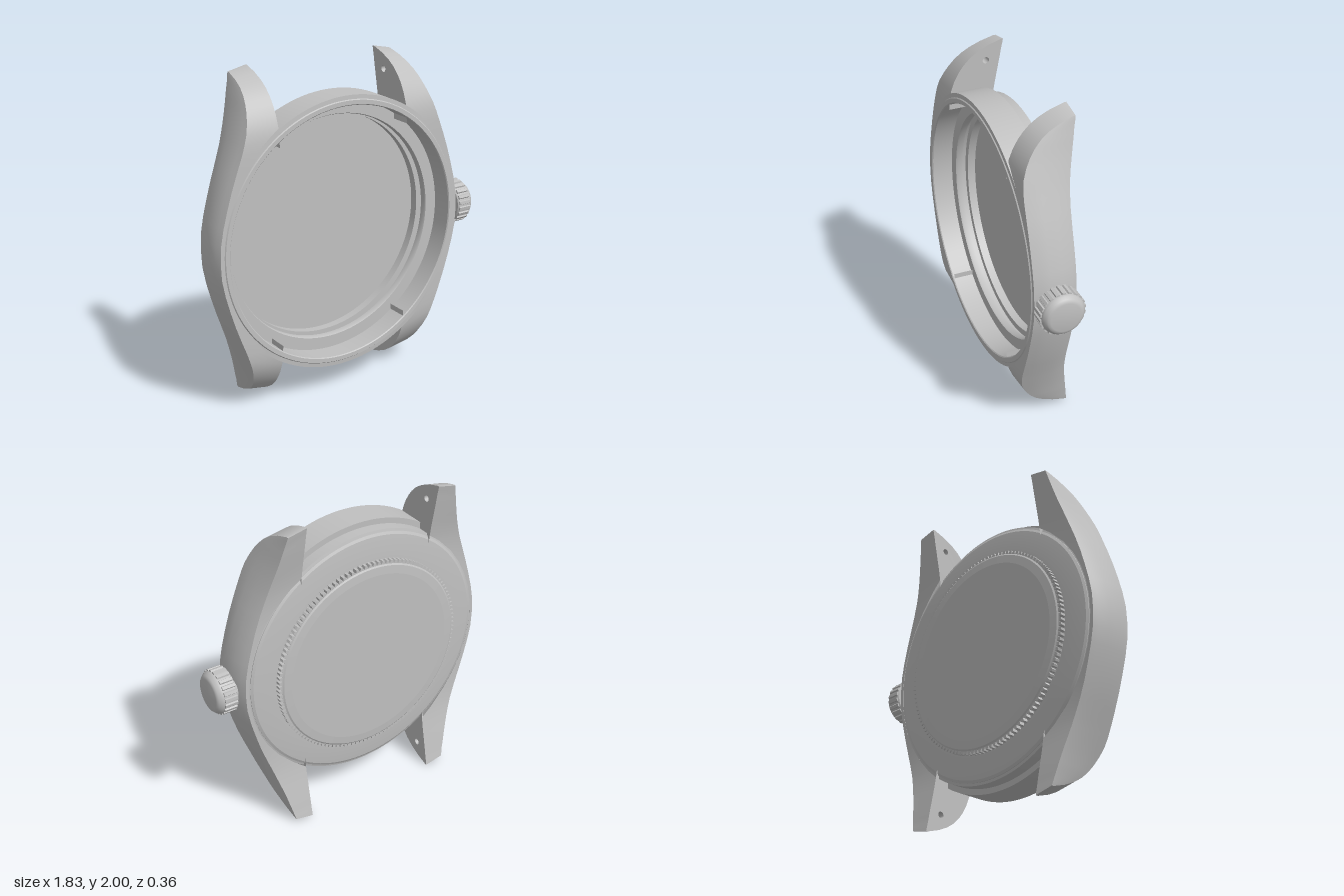
import * as THREE from 'three';
import { toCreasedNormals } from 'three/addons/utils/BufferGeometryUtils.js';

const steel = new THREE.MeshStandardMaterial({ color: 0xc0c0c0, side: THREE.DoubleSide });
steel.name = 'steel';

const LUG_X = 0.437;   // inner face of the lugs, from the case axis
const BORE = 0.79;     // the flanks start at this radius
const HOLE = { z: -0.07, y: 0.88, r: 0.02, depth: 0.06 };

// Half flank from the middle to the lug tip: [y, front z, back z, outer x]
const HALF = [
  [0, 0.168, -0.095, 0.85], [0.1, 0.168, -0.095, 0.845], [0.2, 0.168, -0.095, 0.825],
  [0.3, 0.168, -0.095, 0.797], [0.4, 0.168, -0.095, 0.765], [0.5, 0.168, -0.098, 0.728],
  [0.6, 0.167, -0.106, 0.69], [0.66, 0.163, -0.114, 0.669], [0.72, 0.153, -0.124, 0.648],
  [0.78, 0.13, -0.136, 0.627], [0.83, 0.102, -0.146, 0.61], [0.87, 0.072, -0.154, 0.597],
  [0.91, 0.032, -0.162, 0.584], [0.945, -0.02, -0.168, 0.572], [0.975, -0.085, -0.175, 0.563],
  [1, -0.165, -0.18, 0.555],
];
// Bulge of the outer side: [fraction from front to back, inset]
const SIDE = [[0, 0.02], [0.15, 0.008], [0.35, 0], [0.65, 0.008], [0.88, 0.025], [1, 0.04]];

function add(parent, name, geometry, crease = 0.6) {
  const mesh = new THREE.Mesh(crease ? toCreasedNormals(geometry, crease) : geometry, steel);
  mesh.name = name;
  parent.add(mesh);
  return mesh;
}

// Turned part around the z axis; points are [radius, z]
function turned(points, segments = 128) {
  const g = new THREE.LatheGeometry(points.map(p => new THREE.Vector2(...p)), segments);
  return g.rotateX(Math.PI / 2);
}

// Toothed disc, extruded along z
function toothed(teeth, outer, inner, depth) {
  const shape = new THREE.Shape();
  const profile = [[0, inner], [0.2, outer], [0.65, outer], [0.85, inner]];
  for (let i = 0; i < teeth; i++) {
    for (const [f, r] of profile) {
      const a = (i + f) / teeth * Math.PI * 2;
      if (i + f === 0) shape.moveTo(r, 0);
      else shape.lineTo(r * Math.cos(a), r * Math.sin(a));
    }
  }
  return new THREE.ExtrudeGeometry(shape, { depth, bevelEnabled: false });
}

// One flank with its two lugs, lofted from sections along y; s = 1 or -1
function flankGeometry(s) {
  const rows = [
    ...HALF.slice(1).reverse().map(([y, ...rest]) => [-y, ...rest]),
    ...HALF,
  ];
  const pos = [], idx = [];
  const n = SIDE.length + 2;
  for (const [y, zf, zb, xo] of rows) {
    const a = Math.abs(y);
    const xi = Math.max(LUG_X, Math.sqrt(Math.max(0, BORE * BORE - y * y)));
    const k = 1 - a * a;
    // the crown of the lug falls away towards the outside
    const drop = Math.sign(y) * 0.025 * THREE.MathUtils.smoothstep(a, 0.45, 0.85);
    pos.push(s * xi, y, zf);
    for (const [f, inset] of SIDE) {
      pos.push(s * (xo - inset * k), y - drop, THREE.MathUtils.lerp(zf, zb, f));
    }
    pos.push(s * xi, y, zb);
  }
  const tri = (a, b, c) => (s > 0 ? idx.push(a, b, c) : idx.push(a, c, b));
  for (let r = 0; r < rows.length - 1; r++) {
    for (let j = 0; j < n - 1; j++) {
      const a = r * n + j, b = a + 1, c = a + n, d = c + 1;
      tri(a, b, d);
      tri(a, d, c);
    }
  }
  // Lug ends
  const last = (rows.length - 1) * n;
  for (let j = 1; j < n - 1; j++) {
    tri(0, j + 1, j);
    tri(last, last + j, last + j + 1);
  }
  const g = new THREE.BufferGeometry();
  g.setAttribute('position', new THREE.Float32BufferAttribute(pos, 3));
  g.setIndex(idx);
  g.computeVertexNormals();
  return g;
}

// Flat inner face of a lug with the spring bar hole
function lugFace(v) {
  const lug = HALF.filter(([y]) => y >= 0.6);
  const outline = [
    ...lug.map(([y, zf]) => new THREE.Vector2(zf, v * y)),
    ...lug.slice().reverse().map(([y, , zb]) => new THREE.Vector2(zb, v * y)),
  ];
  const shape = new THREE.Shape(outline);
  shape.holes.push(new THREE.Path().absarc(HOLE.z, v * HOLE.y, HOLE.r, 0, Math.PI * 2, true));
  return new THREE.ShapeGeometry(shape, 10).rotateY(-Math.PI / 2);
}

export function createModel() {
  const model = new THREE.Group();
  model.name = 'watchCase';
  const body = new THREE.Group();
  body.name = 'caseBody';
  body.position.set(-0.065, 1, 0);
  model.add(body);

  // Middle ring with stepped bore and floor
  add(body, 'caseRing', turned([
    [0.78, -0.092], [0.795, -0.088], [0.795, -0.02], [0.83, -0.02], [0.83, 0.166],
    [0.805, 0.168], [0.8, 0.174], [0.775, 0.174], [0.77, 0.168], [0.77, 0.04],
    [0.695, 0.04], [0.69, 0.03], [0.69, 0], [0.72, 0], [0.72, -0.035],
    [0.68, -0.035], [0.68, -0.085], [0, -0.085],
  ]));

  // Flanks, lug faces and spring bar holes
  for (const s of [1, -1]) {
    add(body, s > 0 ? 'leftFlank' : 'rightFlank', flankGeometry(s));
    for (const v of [1, -1]) {
      const face = add(body, 'lugInnerFace', lugFace(v), 0);
      face.position.x = s * LUG_X;
      if (s < 0) face.scale.x = -1;
      const bore = add(body, 'springBarHole', new THREE.CylinderGeometry(
        HOLE.r, HOLE.r, HOLE.depth, 20, 1, true).rotateZ(Math.PI / 2), 0);
      bore.position.set(s * (LUG_X + HOLE.depth / 2), v * HOLE.y, HOLE.z);
      const end = add(body, 'springBarHoleEnd',
        new THREE.CircleGeometry(HOLE.r, 20).rotateY(-s * Math.PI / 2), 0);
      end.position.set(s * (LUG_X + HOLE.depth), v * HOLE.y, HOLE.z);
    }
  }

  // Case back: flange, fluted ring and cover
  add(body, 'backFlange', turned([
    [0.59, -0.118], [0.645, -0.118], [0.765, -0.104], [0.78, -0.096], [0.78, -0.08],
  ]), 0.35);
  const fluting = add(body, 'backFluting', toothed(130, 0.624, 0.606, 0.034), 0.3);
  fluting.position.z = -0.15;
  add(body, 'backCover', turned([
    [0, -0.16], [0.545, -0.16], [0.595, -0.156], [0.604, -0.15], [0.604, -0.118],
  ]), 0.05);

  // Crown on its stem
  const crown = new THREE.Group();
  crown.name = 'crown';
  crown.position.set(0.785, 1, 0.045);
  crown.rotation.y = Math.PI / 2;
  model.add(crown);
  add(crown, 'crownStem', turned([[0.09, -0.05], [0.09, 0.01]], 40));
  add(crown, 'crownFluting', toothed(22, 0.137, 0.122, 0.08), 0.3).position.z = 0.007;
  add(crown, 'crownCap', turned([
    [0, 0], [0.122, 0], [0.128, 0.007], [0.128, 0.087], [0.124, 0.1],
    [0.112, 0.114], [0.105, 0.121], [0.09, 0.125], [0, 0.126],
  ], 48));

  return model;
}
